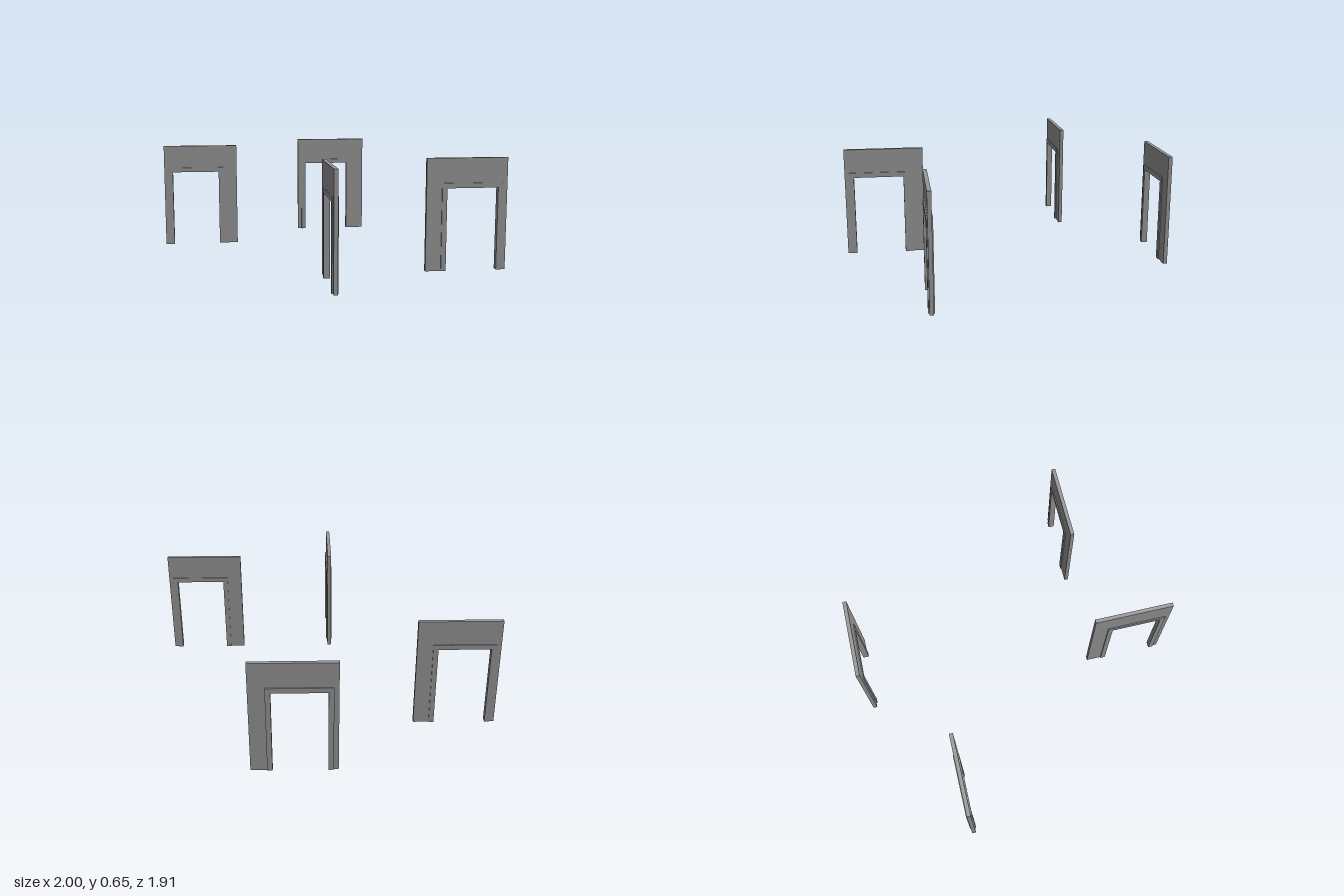
import * as THREE from 'three';

const WIDTH = 0.475, HEIGHT = 0.655;      // wall panel
const WALL_T = 0.023, FRAME_T = 0.036;    // thicknesses
const OPEN_L = -0.182, OPEN_R = 0.118, OPEN_H = 0.482; // doorway
const TRIM = 0.029;                       // frame width

// Upside-down U: an outer rectangle with a doorway cut up from the floor
function archGeometry(l, r, h, il, ir, ih, depth) {
  const pts = [[l, 0], [il, 0], [il, ih], [ir, ih], [ir, 0], [r, 0], [r, h], [l, h]];
  const shape = new THREE.Shape(pts.map(([x, y]) => new THREE.Vector2(x, y)));
  const geo = new THREE.ExtrudeGeometry(shape, { depth, bevelEnabled: false });
  return geo.translate(0, 0, -depth / 2);
}

export function createModel() {
  const model = new THREE.Group();
  model.name = 'doorwayWalls';
  const grey = new THREE.MeshStandardMaterial({ color: 0x999999 });
  grey.name = 'grey';

  const fl = OPEN_L - TRIM, fr = OPEN_R + TRIM, fh = OPEN_H + TRIM;
  const wallGeo = archGeometry(-WIDTH / 2, WIDTH / 2, HEIGHT, fl, fr, fh, WALL_T);
  const frameGeo = archGeometry(fl, fr, fh, OPEN_L, OPEN_R, OPEN_H, FRAME_T);

  // x, z and turn of each doorway
  const places = [
    [-0.7625, -0.487, 0],
    [0.167, -0.938, 0],
    [0.7625, 0.492, Math.PI],
    [-0.06, 0.717, Math.PI / 2],
  ];
  for (const [x, z, turn] of places) {
    const doorway = new THREE.Group();
    doorway.name = 'doorway';
    const wall = new THREE.Mesh(wallGeo, grey);
    wall.name = 'wallPanel';
    const frame = new THREE.Mesh(frameGeo, grey);
    frame.name = 'doorFrame';
    doorway.add(wall, frame);
    doorway.position.set(x, 0, z);
    doorway.rotation.y = turn;
    model.add(doorway);
  }
  return model;
}
